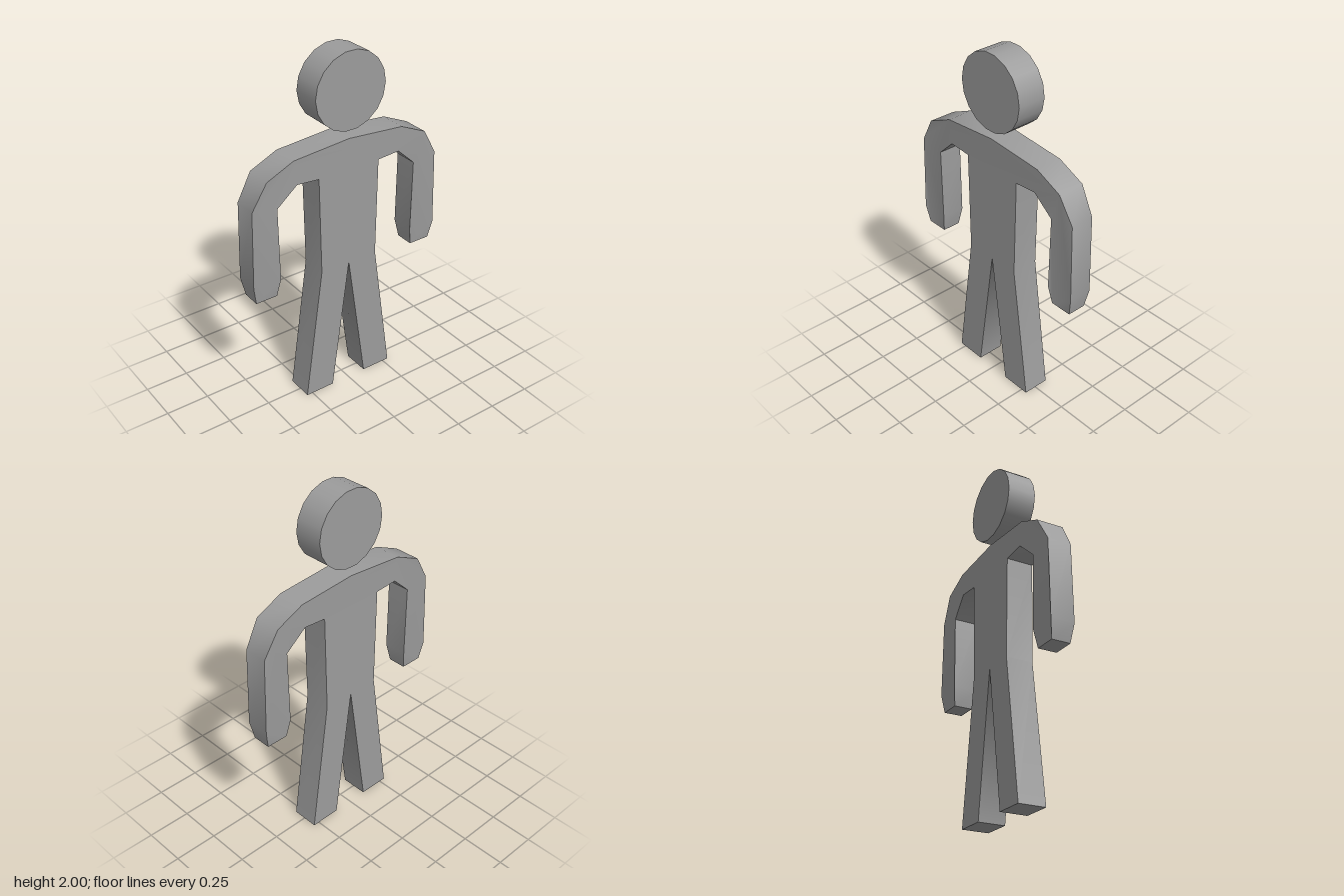
import * as THREE from 'three';
import { toCreasedNormals } from 'three/addons/utils/BufferGeometryUtils.js';

const material = new THREE.MeshStandardMaterial({ color: 0x9c9c9c });

// Left half of the figure's outline, from the neck round the arm and leg to the crotch
const crotchY = 0.79;
const half = [
  [0, 1.53], [0.337, 1.503], [0.495, 1.432], [0.58, 1.285], [0.592, 0.84],
  [0.572, 0.735], [0.446, 0.735], [0.427, 0.84], [0.434, 1.26], [0.32, 1.365],
  [0.188, 1.355], [0.177, 0.79], [0.286, 0], [0.11, 0], [0, crotchY],
];

// The arms get thinner below the elbow, and again at the hand
function thickness(x, y) {
  if (Math.abs(x) < 0.42 || y > 1.3) return 1;
  return y < 0.8 ? 0.69 : 0.88;
}

function createBody() {
  const mirrored = half.slice(1, -1).reverse().map(([x, y]) => [-x, y]);
  const outline = [...half, ...mirrored].map(([x, y]) => new THREE.Vector2(x, y));
  const depth = 0.154;
  const extruded = new THREE.ExtrudeGeometry(new THREE.Shape(outline), { depth, bevelEnabled: false });
  extruded.translate(0, 0, -depth / 2);
  const p = extruded.attributes.position;
  for (let i = 0; i < p.count; i++) {
    p.setZ(i, p.getZ(i) * thickness(p.getX(i), p.getY(i)));
  }

  // Smooth along the shoulders and underarms, sharp at the front and back edges
  const geometry = toCreasedNormals(extruded, 0.832);

  // The inner legs are shaded as one smooth surface through the crotch
  const { position, normal } = geometry.attributes;
  for (let i = 0; i < position.count; i++) {
    const atCrotch = Math.hypot(position.getX(i), position.getY(i) - crotchY) < 0.001;
    if (atCrotch && Math.abs(normal.getZ(i)) < 0.5) normal.setXYZ(i, 0, -1, 0);
  }

  const body = new THREE.Mesh(geometry, material);
  body.name = 'body';
  body.position.z = -0.005;
  return body;
}

// Floating disc head, with a flat edge at the top
function createHead() {
  const radius = 0.213;
  const geometry = new THREE.CylinderGeometry(radius, radius, 0.165, 18);
  geometry.rotateX(Math.PI / 2).rotateZ(Math.PI / 2);
  const head = new THREE.Mesh(geometry, material);
  head.name = 'head';
  head.position.set(0.003, 2 - radius * Math.cos(Math.PI / 18), 0);
  return head;
}

export function createModel() {
  const figure = new THREE.Group();
  figure.name = 'figure';
  figure.add(createBody(), createHead());
  return figure;
}
